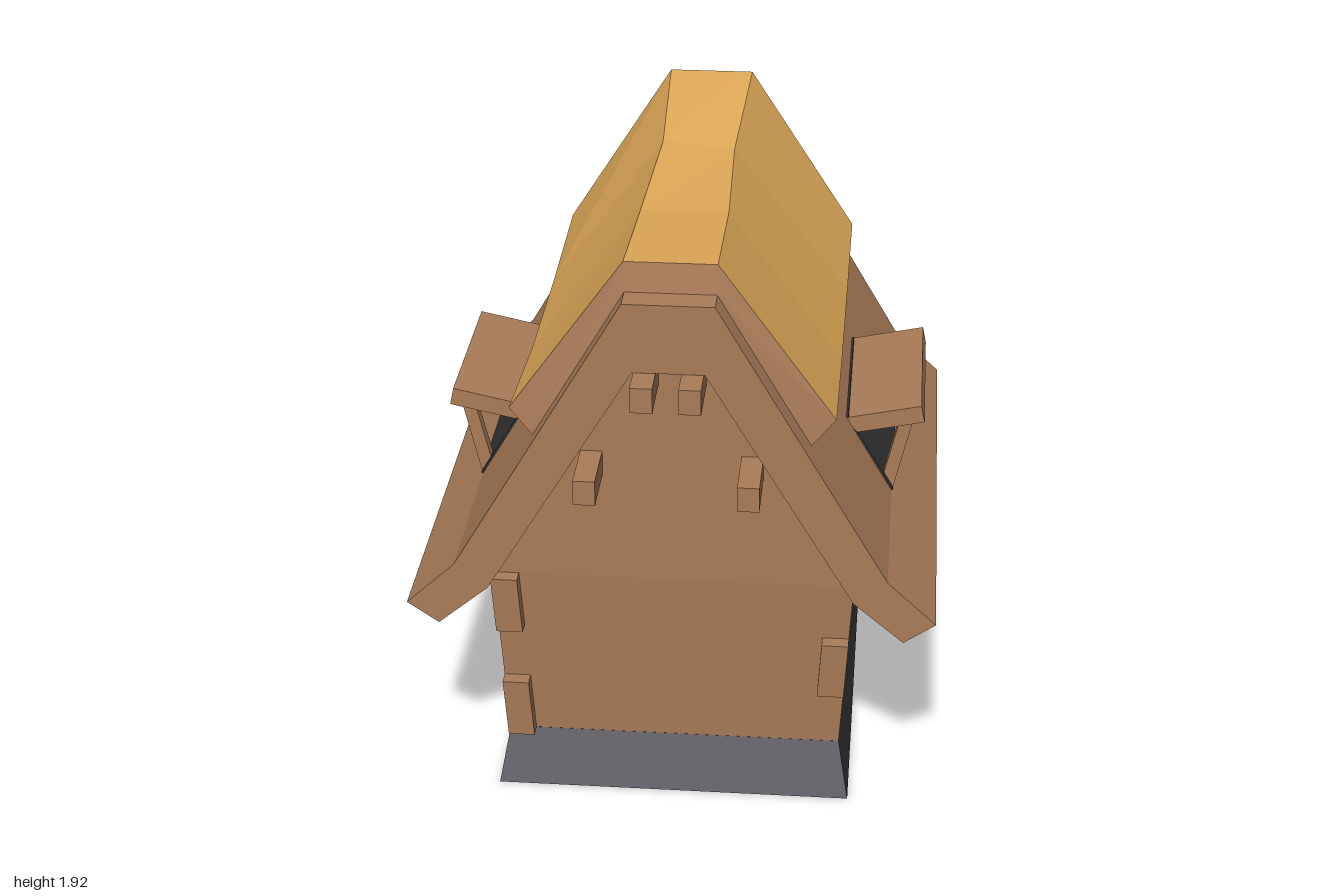
import * as THREE from 'three';

const mat = (name, color, extra = {}) => {
  const m = new THREE.MeshStandardMaterial({ color, ...extra });
  m.name = name;
  return m;
};

export function createModel() {
  const wood = mat('brown wood', 0xaa7c59);
  const thatch = mat('golden thatch', 0xe0aa58, { side: THREE.DoubleSide });
  const thatchEdge = mat('thatch edge brown', 0xaa7c59, { side: THREE.DoubleSide });
  const stone = mat('grey stone', 0x65616a);
  const dark = mat('dark grey', 0x343434);

  const model = new THREE.Group();
  model.name = 'cottage';

  const add = (name, geometry, material, parent = model) => {
    const mesh = new THREE.Mesh(geometry, material);
    mesh.name = name;
    parent.add(mesh);
    return mesh;
  };
  const group = (name) => {
    const g = new THREE.Group();
    g.name = name;
    model.add(g);
    return g;
  };
  // Box whose corners are placed by a rule: place(sx, y, sz) returns [x, z]
  const ruledBox = (y0, y1, place) => {
    const g = new THREE.BoxGeometry(2, 1, 2);
    const p = g.attributes.position;
    for (let i = 0; i < p.count; i++) {
      const y = p.getY(i) < 0 ? y0 : y1;
      const [x, z] = place(p.getX(i), y, p.getZ(i));
      p.setXYZ(i, x, y, z);
    }
    g.computeVertexNormals();
    return g;
  };
  // Outline in x and y, extruded along z
  const prism = (points, z0, z1) => {
    const shape = new THREE.Shape(points.map(([x, y]) => new THREE.Vector2(x, y)));
    return new THREE.ExtrudeGeometry(shape, { depth: z1 - z0, bevelEnabled: false }).translate(0, 0, z0);
  };
  const mirrored = (half) => [...half, ...half.map(([x, y]) => [-x, y]).reverse()];

  // Foundation, narrowing upward
  add('foundation',
    ruledBox(0, 0.19, (sx, y, sz) => [sx * (0.575 - 0.184 * y), sz * (0.815 - 0.27 * y)]),
    [dark, dark, dark, dark, stone, stone]);

  // Walls, widening upward
  const wallX = (y) => 0.54 + 0.035 * (y - 0.19) / 0.61;
  const wallZ = (y) => 0.763 + 0.037 * (y - 0.19) / 0.61;
  add('walls', ruledBox(0.19, 0.8, (sx, y, sz) => [sx * wallX(y), sz * wallZ(y)]), wood);
  add('gables', prism(mirrored([[0.575, 0.8], [0.11, 1.575]]), -0.8, 0.8), wood);

  // Staggered corner blocks on the front and back
  const blocks = group('cornerBlocks');
  const levels = [[-1, 0.19, 0.4], [1, 0.4, 0.6], [-1, 0.6, 0.8]];
  for (const face of [1, -1]) {
    for (const [side, y0, y1] of levels) {
      const block = add('cornerBlock', ruledBox(y0, y1, (sx, y, sz) => [
        side * wallX(y) + (sx * side > 0 ? 0 : -side * 0.085),
        wallZ(y) + (sz > 0 ? 0.048 : 0),
      ]), wood, blocks);
      if (face < 0) block.rotation.y = Math.PI;
    }
  }

  // Roof shell with flared eaves
  add('roof', prism(
    [
      [0.14, 1.8], [-0.14, 1.8], [-0.68, 0.88], [-0.835, 0.735], [-0.735, 0.665], [-0.575, 0.8], [-0.11, 1.575],
      [0.11, 1.575], [0.575, 0.8], [0.735, 0.665], [0.835, 0.735], [0.68, 0.88],
    ], -0.9, 0.9), wood);

  // Beam ends under the roof
  const beams = group('beamEnds');
  for (const face of [1, -1]) {
    for (const side of [1, -1]) {
      for (const [x, y] of [[0.073, 1.532], [0.25, 1.21]]) {
        add('beamEnd', new THREE.BoxGeometry(0.068, 0.082, 0.25), wood, beams)
          .position.set(side * x, y, face * 0.875);
      }
    }
  }

  // Sagging thatch: four cross-sections, each [z, left x, left y, right x, right y, lower y]
  const sections = [
    [0.79, -0.145, 1.89, 0.14, 1.89, 1.385],
    [0.27, -0.145, 1.84, 0.135, 1.84, 1.34],
    [-0.27, -0.125, 1.86, 0.115, 1.84, 1.34],
    [-0.79, -0.145, 1.925, 0.14, 1.925, 1.36],
  ];
  const outer = sections.map(([z, lx, ly, rx, ry, low]) =>
    [[-0.505, low, z], [lx, ly, z], [rx, ry, z], [0.505, low, z]]);
  const inner = sections.map(([z, , , , , low]) => {
    const y = low - 0.5 * (low - 1.285) - 0.03;
    const x = 0.14 + (1.8 - y) * 0.587;
    const zi = Math.abs(z) > 0.5 ? Math.sign(z) * 0.812 : z;
    return [[-x, y, zi], [-0.14, 1.8, zi], [0.14, 1.8, zi], [x, y, zi]];
  });
  const quads = (list) => {
    const g = new THREE.BufferGeometry();
    const flat = list.flatMap(([a, b, c, d]) => [a, b, c, a, c, d]).flat();
    g.setAttribute('position', new THREE.Float32BufferAttribute(flat, 3));
    g.computeVertexNormals();
    return g;
  };
  const cover = [], edges = [];
  for (let i = 0; i < 3; i++) {
    for (let j = 0; j < 3; j++) {
      cover.push([outer[i][j], outer[i][j + 1], outer[i + 1][j + 1], outer[i + 1][j]]);
    }
    edges.push([outer[i][3], inner[i][3], inner[i + 1][3], outer[i + 1][3]]);
    edges.push([inner[i][0], outer[i][0], outer[i + 1][0], inner[i + 1][0]]);
  }
  for (let j = 0; j < 3; j++) {
    edges.push([inner[0][j], inner[0][j + 1], outer[0][j + 1], outer[0][j]]);
    edges.push([outer[3][j], outer[3][j + 1], inner[3][j + 1], inner[3][j]]);
  }
  add('thatchCover', quads(cover), thatch);
  add('thatchEdges', quads(edges), thatchEdge);

  // Propped-open roof hatches on both slopes
  for (const side of [1, -1]) {
    const hatch = group(side > 0 ? 'leftHatch' : 'rightHatch');
    add('opening', prism([[0.68, 0.88], [0.686, 0.882], [0.531, 1.146], [0.525, 1.144]], -0.3, 0.3), dark, hatch);
    add('lid', prism([[0.565, 1.09], [0.78, 1.135], [0.768, 1.193], [0.51, 1.138]], -0.3, 0.3), wood, hatch);
    for (const z of [0.265, -0.25]) {
      add('prop', prism([[0.65, 0.92], [0.685, 0.88], [0.742, 1.13], [0.697, 1.122]], z - 0.02, z + 0.02), wood, hatch);
    }
    if (side < 0) {
      hatch.rotation.y = Math.PI;
      // Keep the props at the same depth on both sides
      hatch.children.filter((m) => m.name === 'prop').forEach((m) => { m.position.z = -0.015; });
    }
  }

  return model;
}
